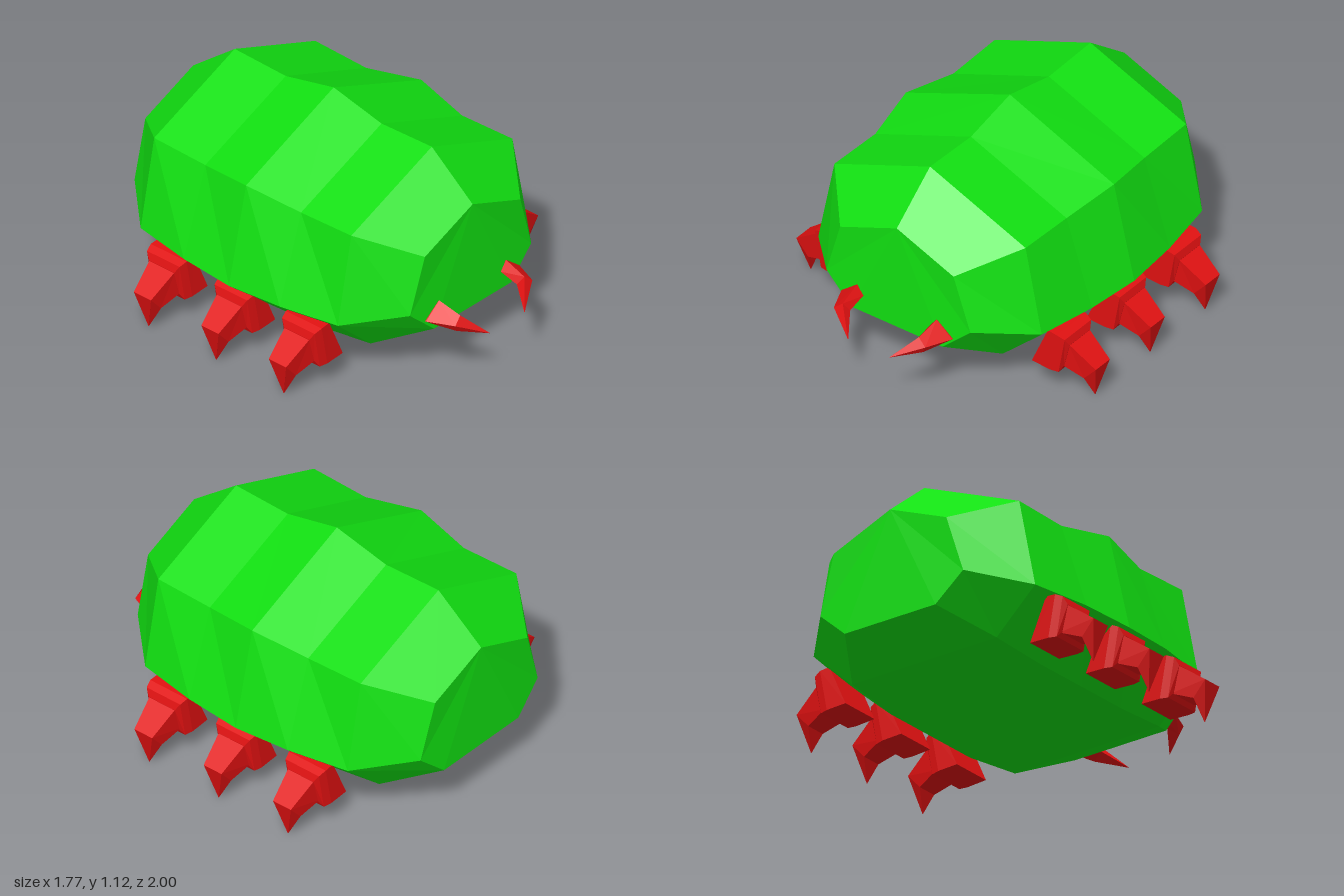
import * as THREE from 'three';

const green = new THREE.MeshStandardMaterial({ color: 0x11e011, flatShading: true });
const red = new THREE.MeshStandardMaterial({ color: 0xe01111, flatShading: true });

// Skins a list of equal-length rings of [x, y, z] points and caps both ends.
function loft(rings, material, name) {
  const tris = [];
  const n = rings[0].length;
  for (let r = 0; r < rings.length - 1; r++) {
    for (let i = 0; i < n; i++) {
      const j = (i + 1) % n;
      const [a, b, c, d] = [rings[r][i], rings[r][j], rings[r + 1][j], rings[r + 1][i]];
      tris.push([a, b, c], [a, c, d]);
    }
  }
  const first = rings[0], last = rings[rings.length - 1];
  for (let i = 1; i < n - 1; i++) {
    tris.push([first[0], first[i + 1], first[i]], [last[0], last[i], last[i + 1]]);
  }
  // Turn every face outward by the sign of the enclosed volume
  let volume = 0;
  for (const t of tris) {
    const [a, b, c] = t.map((p) => new THREE.Vector3(...p));
    volume += a.dot(b.cross(c));
  }
  if (volume < 0) tris.forEach((t) => t.reverse());
  const geometry = new THREE.BufferGeometry();
  geometry.setAttribute('position', new THREE.Float32BufferAttribute(tris.flat(2), 3));
  geometry.computeVertexNormals();
  const mesh = new THREE.Mesh(geometry, material);
  mesh.name = name;
  return mesh;
}

// Seven-sided shell section: ridge height, then shoulder, side and belly corners
function shellRing(z, sideZ, ridge, shoulder, side, belly) {
  const half = [[...shoulder, z], [...side, sideZ], [...belly, z]];
  const mirrored = half.map(([x, y, pz]) => [-x, y, pz]).reverse();
  return [[0, ridge, z], ...half, ...mirrored];
}

// Leg section: a slanted rectangle between an upper and a lower point
function legRing(side, z, [topX, topY, botX, botY, w]) {
  return [
    [side * topX, topY, z - w], [side * topX, topY, z + w],
    [side * botX, botY, z + w], [side * botX, botY, z - w],
  ];
}

export function createModel() {
  const model = new THREE.Group();
  model.name = 'beetle';

  // Faceted shell
  const end = [0.86, [0.335, 0.725], [0.425, 0.43], [0.27, 0.29]];
  const hump = [1.07, [0.565, 0.842], [0.66, 0.38], [0.43, 0.17]];
  const dip = [1.06, [0.565, 0.832], [0.715, 0.375], [0.45, 0.14]];
  const crest = [1.13, [0.615, 0.875], [0.735, 0.367], [0.45, 0.14]];
  model.add(loft([
    shellRing(0.78, 0.767, ...end),
    shellRing(0.52, 0.52, ...hump),
    shellRing(0.2, 0.2, ...dip),
    shellRing(-0.105, -0.105, ...crest),
    shellRing(-0.41, -0.41, ...dip),
    shellRing(-0.735, -0.735, ...hump),
    shellRing(-1, -0.987, ...end),
  ], green, 'shell'));

  for (const side of [1, -1]) {
    const label = side > 0 ? 'left' : 'right';

    // Three stubby legs: hip block, shin and pointed claw
    [0.34, -0.09, -0.52].forEach((z, i) => {
      const leg = new THREE.Group();
      leg.name = `${label}Leg${i + 1}`;
      const ring = (s) => legRing(side, z, s);
      const knee = [0.885, 0.2, 0.815, 0.122, 0.055];
      leg.add(loft([
        [0.645, 0.36, 0.55, 0.145, 0.112],
        [0.7, 0.355, 0.66, 0.14, 0.114],
        [0.738, 0.338, 0.702, 0.138, 0.104],
        [0.75, 0.3, 0.715, 0.165, 0.08],
      ].map(ring), red, 'hip'));
      leg.add(loft([[0.74, 0.305, 0.7, 0.168, 0.08], knee].map(ring), red, 'shin'));
      leg.add(loft([knee, [0.841, 0.01, 0.839, 0.01, 0.001]].map(ring), red, 'claw'));
      model.add(leg);
    });

    // Inward-curving pincer
    const mirror = (ring) => ring.map(([x, y, z]) => [side * x, y, z]);
    model.add(loft([
      [[0.235, 0.433, 0.74], [0.333, 0.358, 0.74], [0.285, 0.325, 0.74], [0.197, 0.385, 0.74]],
      [[0.235, 0.433, 0.78], [0.328, 0.358, 0.78], [0.285, 0.325, 0.78], [0.197, 0.385, 0.78]],
      [[0.225, 0.398, 0.905], [0.27, 0.362, 0.915], [0.25, 0.322, 0.905], [0.2, 0.355, 0.88]],
      [[0.122, 0.291, 1], [0.123, 0.29, 1], [0.122, 0.289, 1], [0.121, 0.29, 0.999]],
    ].map(mirror), red, `${label}Pincer`));
  }
  return model;
}
